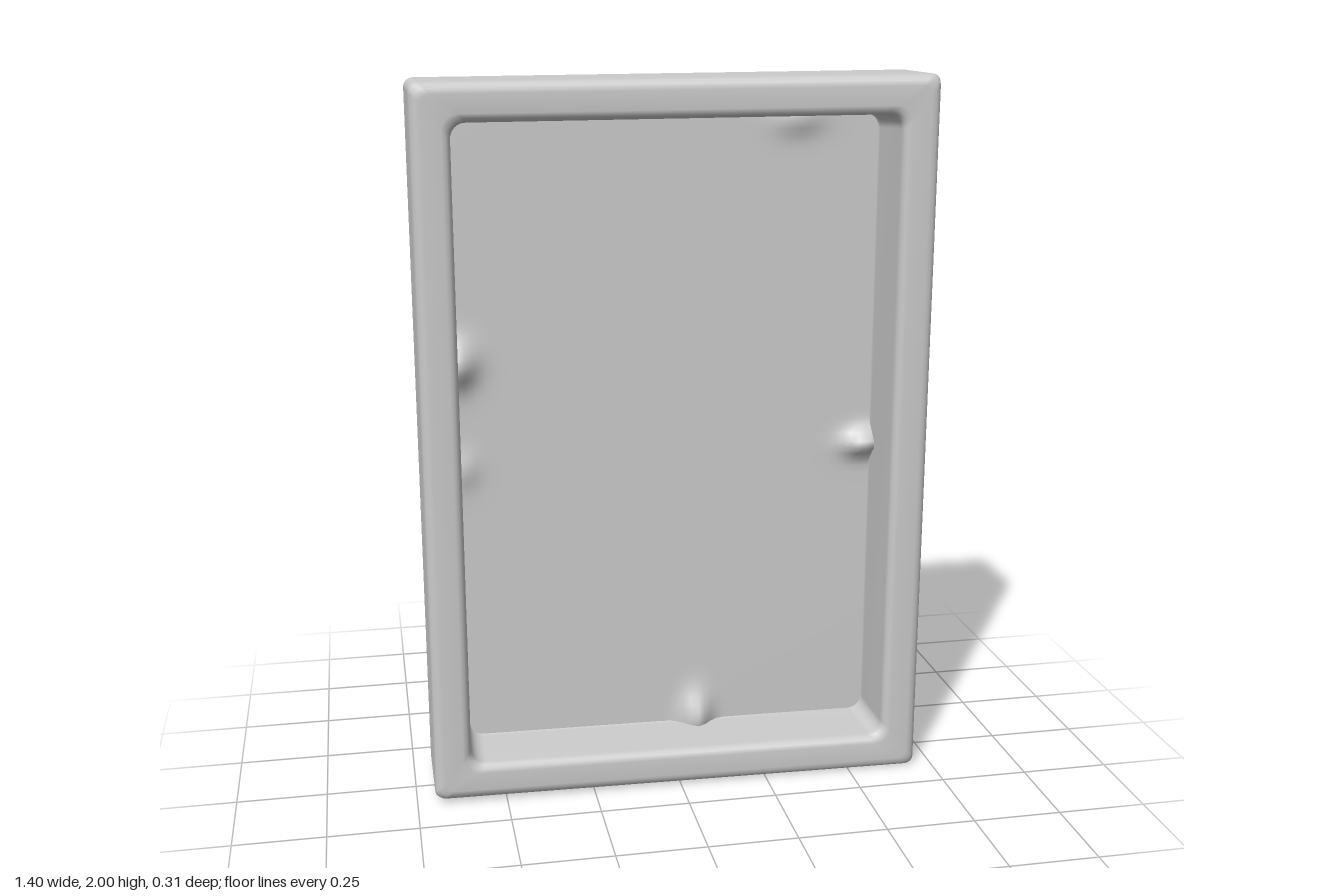
import * as THREE from 'three';

const material = new THREE.MeshStandardMaterial({ color: 0xcccccc });

// Slight hand-made skew shared by all parts
function warp(geometry) {
  const p = geometry.attributes.position;
  for (let i = 0; i < p.count; i++) {
    const x = p.getX(i), y = p.getY(i), z = p.getZ(i);
    const side = x / 0.7, up = y - 1;
    p.setY(i, y + 0.005 * side * up);
    p.setZ(i, z + 0.009 * side + (z > 0 ? 0.006 * Math.max(0, up) : 0));
  }
  geometry.computeVertexNormals();
  return geometry;
}

// Rounded rectangle outline, counter-clockwise seen from the front
function outline(halfW, halfH, r, steps = 6) {
  const points = [];
  [[1, 1], [-1, 1], [-1, -1], [1, -1]].forEach(([sx, sy], corner) => {
    for (let i = 0; i <= steps; i++) {
      const a = (corner + i / steps) * Math.PI / 2;
      points.push([sx * (halfW - r) + r * Math.cos(a), sy * (halfH - r) + r * Math.sin(a)]);
    }
  });
  return points;
}

// Sweeps a closed profile of [inset, z, corner radius] around the rectangle
function frameGeometry(profile) {
  const positions = [], index = [];
  const rings = profile.map(([inset, z, r]) => {
    const ring = outline(0.7 - inset, 0.993 - inset, r);
    ring.forEach(([x, y]) => positions.push(x, y + 1, z));
    return ring;
  });
  const n = rings[0].length;
  for (let k = 0; k < rings.length; k++) {
    const next = (k + 1) % rings.length;
    for (let i = 0; i < n; i++) {
      const j = (i + 1) % n;
      const a = k * n + i, b = k * n + j, c = next * n + j, d = next * n + i;
      index.push(a, c, b, a, d, c);
    }
  }
  const g = new THREE.BufferGeometry();
  g.setAttribute('position', new THREE.Float32BufferAttribute(positions, 3));
  g.setIndex(index);
  return warp(g);
}

// Thin backing panel with small dents along its front edges
function panelGeometry() {
  const g = new THREE.BoxGeometry(1.22, 1.81, 0.016, 60, 90, 1);
  g.translate(0, 1, -0.058);
  const bumps = [
    [-0.59, 1.22, 0.05, 0.06, 0.05],
    [0.57, 0.95, 0.06, 0.035, 0.05],
    [0.08, 0.13, 0.04, 0.07, 0.05],
    [-0.58, 0.92, 0.04, 0.05, 0.015],
    [0.36, 1.87, 0.07, 0.04, 0.02],
  ];
  const p = g.attributes.position;
  for (let i = 0; i < p.count; i++) {
    if (p.getZ(i) < -0.058) continue;
    let z = p.getZ(i);
    for (const [bx, by, wx, wy, h] of bumps) {
      const u = (p.getX(i) - bx) / wx, v = (p.getY(i) - by) / wy;
      z += h * Math.exp(-u * u - v * v);
    }
    p.setZ(i, z);
  }
  return warp(g);
}

export function createModel() {
  const group = new THREE.Group();

  // Profile runs from the front inner lip outward, over the rim and into the back recess
  const profile = [
    [0.104, 0.115, 0.04], [0.1, 0.128, 0.04], [0.092, 0.136, 0.045], [0.08, 0.14, 0.045],
    [0.03, 0.14, 0.025], [0.016, 0.137, 0.025], [0.005, 0.128, 0.025], [0, 0.112, 0.025],
    [0, -0.115, 0.025], [0.004, -0.132, 0.025], [0.013, -0.141, 0.025], [0.028, -0.145, 0.025],
    [0.115, -0.145, 0.03], [0.13, -0.142, 0.03], [0.139, -0.134, 0.03], [0.143, -0.12, 0.03],
    [0.15, -0.066, 0.03], [0.148, -0.062, 0.03], [0.114, -0.06, 0.04], [0.11, -0.04, 0.04],
  ];
  const frame = new THREE.Mesh(frameGeometry(profile), material);
  frame.name = 'frame';

  const panel = new THREE.Mesh(panelGeometry(), material);
  panel.name = 'backingPanel';

  group.add(frame, panel);
  return group;
}
